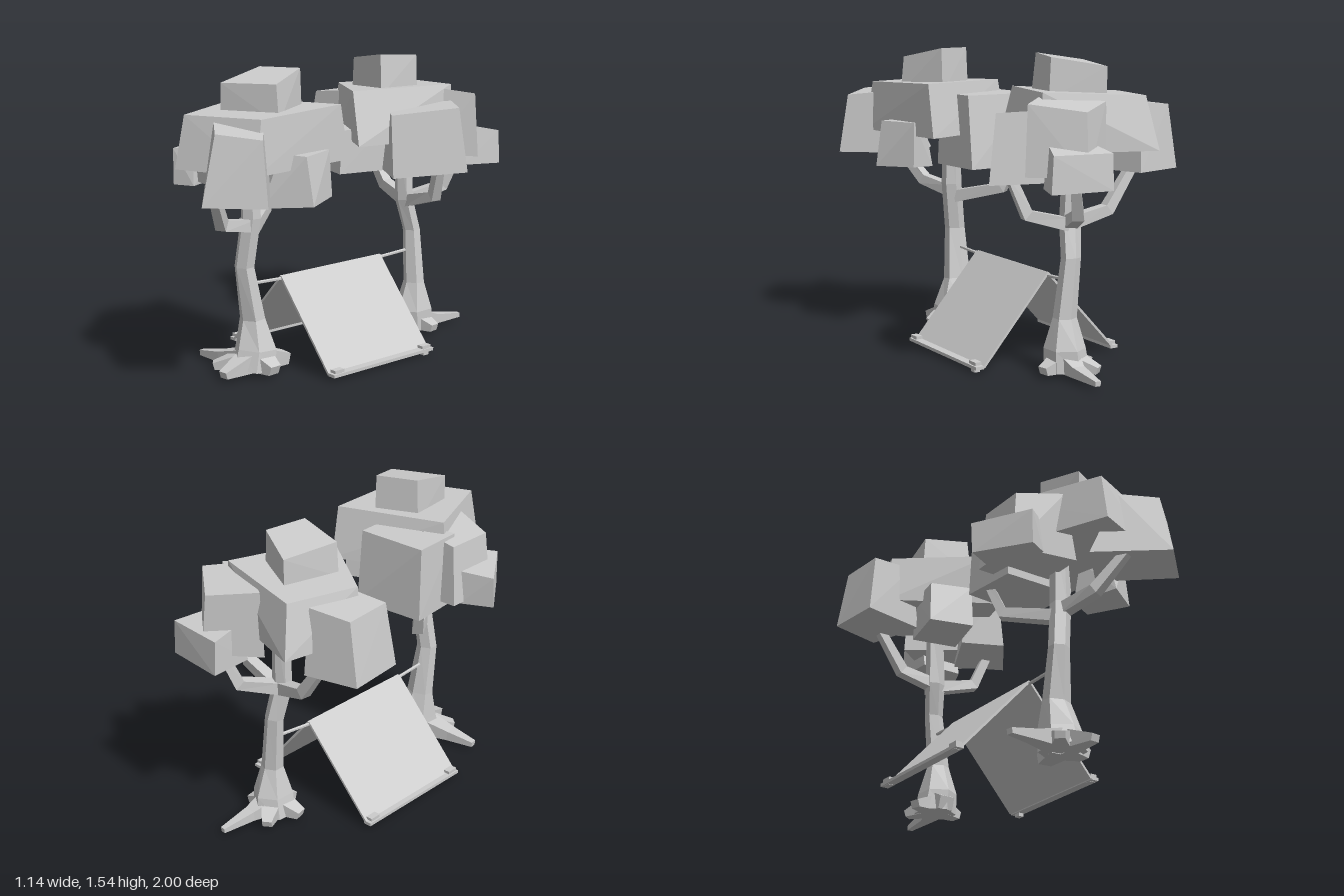
import * as THREE from 'three';
import { ConvexGeometry } from 'three/addons/geometries/ConvexGeometry.js';

const GROUND = 0.02;
const mat = new THREE.MeshStandardMaterial({ color: 0xcccccc, flatShading: true, side: THREE.DoubleSide });

function add(parent, name, geometry) {
  const mesh = new THREE.Mesh(geometry, mat);
  mesh.name = name;
  parent.add(mesh);
  return mesh;
}

// Faceted limb through [x, y, z, radius, radius2] stations, kept above ground
function limb(stations, sides = 4) {
  const pts = stations.map(s => new THREE.Vector3(s[0], s[1], s[2]));
  const n = pts.length, d = pts[n - 1].clone().sub(pts[0]).setY(0);
  const side = d.length() > 0.12
    ? new THREE.Vector3(0, 1, 0).cross(d).normalize()
    : new THREE.Vector3(1, 0, 0);
  const pos = [], idx = [];
  pts.forEach((p, i) => {
    const t = pts[Math.min(i + 1, n - 1)].clone().sub(pts[Math.max(i - 1, 0)]).normalize();
    const up = t.cross(side).normalize();
    const r = stations[i][3], r2 = stations[i][4] ?? r;
    for (let j = 0; j < sides; j++) {
      const a = (j + 0.5) / sides * Math.PI * 2;
      const v = p.clone().addScaledVector(side, r * Math.cos(a)).addScaledVector(up, r2 * Math.sin(a));
      pos.push(v.x, Math.max(v.y, GROUND), v.z);
    }
  });
  for (let i = 0; i < n - 1; i++) for (let j = 0; j < sides; j++) {
    const a = i * sides + j, b = i * sides + (j + 1) % sides;
    idx.push(a, b, a + sides, b, b + sides, a + sides);
  }
  const e = (n - 1) * sides;
  for (let j = 1; j < sides - 1; j++) idx.push(0, j + 1, j, e, e + j, e + j + 1);
  const g = new THREE.BufferGeometry();
  g.setAttribute('position', new THREE.Float32BufferAttribute(pos, 3));
  g.setIndex(idx);
  const flat = g.toNonIndexed();
  flat.computeVertexNormals();
  return flat;
}

// Leaf block: base and top outlines as x,z pairs; slopes tilt each of them
function leafBlock(y0, y1, base, top, topSlope = [0, 0], baseSlope = [0, 0]) {
  const pts = [];
  for (const [q, y, s] of [[base, y0, baseSlope], [top, y1, topSlope]]) {
    const cx = (q[0] + q[2] + q[4] + q[6]) / 4, cz = (q[1] + q[3] + q[5] + q[7]) / 4;
    for (let i = 0; i < 8; i += 2)
      pts.push(new THREE.Vector3(q[i], y + s[0] * (q[i] - cx) + s[1] * (q[i + 1] - cz), q[i + 1]));
  }
  return new ConvexGeometry(pts);
}

function tree(name, { trunk, roots, branches, leaves }) {
  const g = new THREE.Group();
  g.name = name;
  add(g, 'trunk', limb(trunk, 6));
  roots.forEach(r => add(g, 'root', limb(r)));
  branches.forEach(b => add(g, 'branch', limb(b)));
  leaves.forEach(l => add(g, 'leafBlock', leafBlock(...l)));
  return g;
}

const frontTree = {
  trunk: [[0.05, 0.02, 0.48, 0.12, 0.12], [0.05, 0.13, 0.46, 0.11, 0.11], [0.03, 0.28, 0.465, 0.075, 0.06],
    [0.02, 0.55, 0.505, 0.055, 0.05], [0.05, 0.8, 0.485, 0.055, 0.05], [0.05, 1.12, 0.48, 0.045]],
  roots: [
    [[0, 0.06, 0.49, 0.08], [-0.15, 0.04, 0.52, 0.05], [-0.3, 0.03, 0.54, 0.025]],
    [[0.06, 0.07, 0.45, 0.09], [0.08, 0.04, 0.29, 0.05]],
    [[0.07, 0.07, 0.47, 0.09], [0.2, 0.035, 0.46, 0.045]],
    [[0.06, 0.07, 0.5, 0.08], [0.08, 0.03, 0.69, 0.035]],
    [[0.02, 0.06, 0.5, 0.08], [-0.08, 0.03, 0.63, 0.035]]],
  branches: [
    [[0.05, 0.76, 0.49, 0.045], [0.1, 0.8, 0.7, 0.04], [0.21, 1.0, 0.83, 0.03]],
    [[0.03, 0.73, 0.47, 0.045], [-0.13, 0.79, 0.25, 0.04], [-0.19, 0.97, 0.2, 0.03]]],
  leaves: [
    // crown and cap
    [1.09, 1.355, [-0.22, 0.36, 0.36, 0.12, 0.43, 0.75, 0.02, 0.91], [-0.18, 0.38, 0.36, 0.17, 0.41, 0.7, 0.03, 0.86],
      [0, -0.03]],
    [1.3, 1.51, [0, 0.39, 0.21, 0.29, 0.33, 0.53, 0.05, 0.66], [0.01, 0.39, 0.21, 0.3, 0.31, 0.53, 0.05, 0.66], [-0.07, -0.19]],
    // surrounding blocks
    [0.97, 1.3, [0.57, 0.79, 0.35, 1, 0.03, 0.75, 0.25, 0.52], [0.52, 0.78, 0.35, 0.92, 0.18, 0.8, 0.33, 0.62], [-0.13, 0]],
    [0.96, 1.29, [-0.32, 0.6, -0.32, 0.31, 0.03, 0.3, 0.02, 0.66], [-0.29, 0.59, -0.29, 0.33, -0.04, 0.33, -0.05, 0.67], [0.15, 0]],
    [0.945, 1.125, [-0.46, 0.46, -0.28, 0.71, -0.18, 0.66, -0.3, 0.38], [-0.46, 0.45, -0.28, 0.71, -0.2, 0.65, -0.3, 0.38], [0.1, 0]],
    [0.92, 1.3, [-0.25, 0.12, 0.15, 0.09, 0.17, 0.42, -0.22, 0.42], [-0.24, 0.14, 0.15, 0.13, 0.16, 0.4, -0.22, 0.42]],
    [0.92, 1.16, [0.4, 0.26, 0.51, 0.47, 0.3, 0.62, 0.24, 0.35], [0.39, 0.27, 0.47, 0.48, 0.33, 0.52, 0.28, 0.36], [0, 0], [0.05, -0.06]]],
};

const backTree = {
  trunk: [[0.05, 0.02, -0.64, 0.11, 0.11], [0.06, 0.13, -0.635, 0.1, 0.11], [0.06, 0.28, -0.635, 0.06, 0.055],
    [0.03, 0.57, -0.64, 0.05, 0.045], [0.01, 0.74, -0.6, 0.055, 0.045], [0, 1.12, -0.6, 0.045]],
  roots: [
    [[0.06, 0.06, -0.66, 0.08], [0.08, 0.04, -0.78, 0.045], [0.09, 0.03, -0.96, 0.02]],
    [[0.05, 0.07, -0.63, 0.09], [0.05, 0.045, -0.53, 0.06]],
    [[0.06, 0.06, -0.64, 0.08], [0.2, 0.03, -0.66, 0.04]],
    [[0.04, 0.06, -0.63, 0.08], [-0.1, 0.03, -0.6, 0.04]],
    [[0.04, 0.06, -0.66, 0.08], [-0.04, 0.03, -0.78, 0.035]]],
  branches: [
    [[0.03, 0.73, -0.61, 0.045], [0.25, 0.79, -0.59, 0.04], [0.33, 1.0, -0.55, 0.03]],
    [[0, 0.74, -0.61, 0.045], [-0.18, 0.79, -0.64, 0.04], [-0.33, 1.0, -0.64, 0.03]],
    [[0.02, 0.74, -0.62, 0.045], [0.1, 0.8, -0.8, 0.04], [0.17, 1.02, -0.87, 0.03]]],
  leaves: [
    // crown and cap
    [1.09, 1.36, [-0.31, -0.88, 0.26, -0.7, 0.14, -0.15, -0.39, -0.46], [-0.27, -0.82, 0.24, -0.71, 0.07, -0.17, -0.37, -0.46],
      [0.05, 0]],
    [1.33, 1.515, [-0.13, -0.7, 0.12, -0.58, 0.08, -0.36, -0.2, -0.41], [-0.13, -0.7, 0.11, -0.58, 0.06, -0.37, -0.19, -0.41], [0.14, 0.09]],
    // surrounding blocks
    [0.97, 1.3, [-0.57, -0.68, -0.3, -0.75, -0.2, -0.45, -0.54, -0.38], [-0.52, -0.67, -0.31, -0.72, -0.25, -0.45, -0.5, -0.41], [0.1, 0]],
    [0.94, 1.27, [0.23, -0.75, 0.47, -0.61, 0.25, -0.29, 0.05, -0.4], [0.23, -0.71, 0.42, -0.59, 0.22, -0.3, 0.1, -0.4],
      [0, -0.12], [0, -0.08]],
    [1.0, 1.33, [-0.08, -0.79, 0.16, -0.97, 0.38, -0.78, 0.2, -0.6], [-0.06, -0.79, 0.15, -0.94, 0.36, -0.77, 0.2, -0.64], [0, 0.2]],
    [0.94, 1.13, [0.04, -1, 0.36, -0.97, 0.28, -0.78, 0.05, -0.78], [0.04, -0.99, 0.35, -0.97, 0.28, -0.82, 0.05, -0.82], [0, 0.2]],
    [0.92, 1.15, [-0.26, -0.23, -0.03, -0.17, 0.04, -0.45, -0.2, -0.5], [-0.24, -0.26, -0.03, -0.19, 0.03, -0.42, -0.2, -0.48]]],
};

function tent() {
  const g = new THREE.Group();
  g.name = 'tent';
  const zMid = -0.075, length = 0.69, ridge = [0.015, 0.455];
  for (const s of [-1, 1]) {
    // sloping sheet
    const foot = [s * 0.385, 0.025], dx = foot[0] - ridge[0], dy = foot[1] - ridge[1];
    const sheet = add(g, 'sheet', new THREE.BoxGeometry(Math.hypot(dx, dy), 0.012, length));
    sheet.position.set((foot[0] + ridge[0]) / 2, (foot[1] + ridge[1]) / 2, zMid);
    sheet.rotation.z = Math.atan2(dy, dx);
    // hem on the ground and its pegs
    const x = s * 0.4 + 0.008;
    add(g, 'hem', new THREE.BoxGeometry(0.045, 0.016, length)).position.set(x, 0.026, zMid);
    for (const z of [0.23, -0.375]) {
      const low = s > 0 && z < 0 ? 0 : 0.016;
      add(g, 'peg', new THREE.BoxGeometry(0.03, 0.05 - low, 0.035)).position.set(x, 0.025 + low / 2, z);
      add(g, 'pegHead', new THREE.BoxGeometry(0.035, 0.015, 0.06)).position.set(x, 0.045, z);
    }
  }
  // ridge rope tied between the trunks
  add(g, 'rope', limb([[0.02, 0.455, 0.5, 0.009], [0.015, 0.443, 0.27, 0.009],
    [0.015, 0.443, -0.42, 0.009], [0.03, 0.457, -0.62, 0.009]], 6));
  return g;
}

export function createModel() {
  const model = new THREE.Group();
  model.name = 'treesWithTent';
  model.add(tree('frontTree', frontTree), tree('backTree', backTree), tent());
  return model;
}
